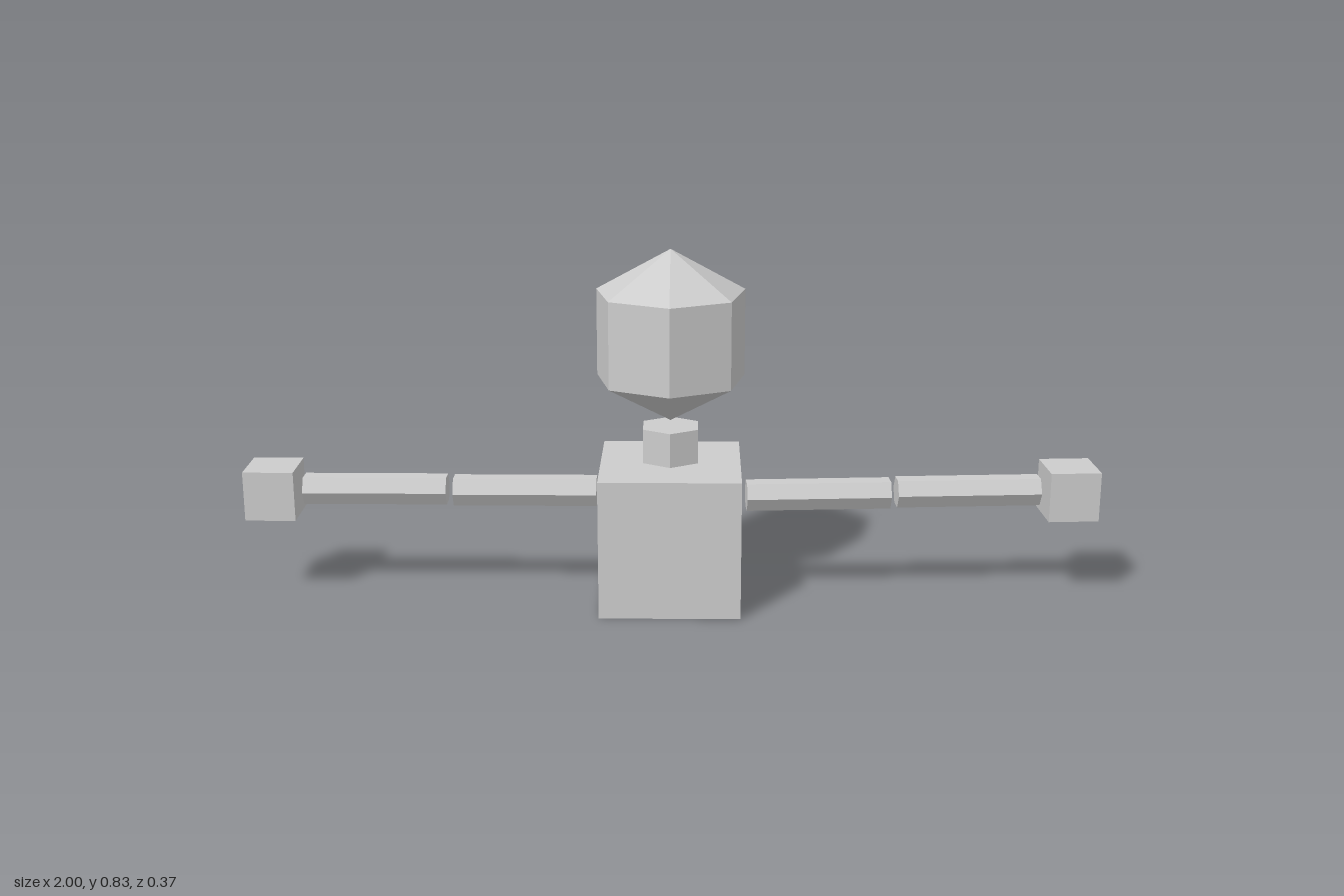
import * as THREE from 'three';

const grey = new THREE.MeshStandardMaterial({ color: 0xcccccc });
grey.name = 'plain grey';

// Faceted mesh: unshared vertices give flat normals
function part(name, geometry, x, y, z) {
  const flat = geometry.index ? geometry.toNonIndexed() : geometry;
  flat.computeVertexNormals();
  const mesh = new THREE.Mesh(flat, grey);
  mesh.name = name;
  mesh.position.set(x, y, z);
  return mesh;
}

const box = (w, h, d) => new THREE.BoxGeometry(w, h, d);

// Hexagonal bar lying along x, with its corners pointing to +z and -z
const armBar = () => new THREE.CylinderGeometry(0.0375, 0.0375, 0.337, 6).rotateZ(Math.PI / 2);

export function createModel() {
  const model = new THREE.Group();
  model.name = 'blockFigure';
  const cx = -0.005, cz = 0.008;

  // Torso and neck
  model.add(part('torso', box(0.327, 0.329, 0.327), cx, 0.1645, cz));
  model.add(part('neck', new THREE.CylinderGeometry(0.0735, 0.0735, 0.081, 6), cx, 0.3765, cz));

  // Head: seven-sided barrel with a point above and below
  const profile = [[0, 0.43], [0.176, 0.53], [0.176, 0.733], [0, 0.833]]
    .map(([r, y]) => new THREE.Vector2(r, y));
  model.add(part('head', new THREE.LatheGeometry(profile, 7), cx, 0, cz));

  // Block and thin plate on the back of the head
  model.add(part('backBlock', box(0.125, 0.087, 0.05), cx, 0.675, -0.157));
  model.add(part('backPlate', box(0.125, 0.075, 0.008), cx, 0.5825, -0.15));

  // Arms: two bars and a cubic hand, laid out along +x from the arm's own middle
  const addArm = (name, x, y, z, turn, side) => {
    const arm = new THREE.Group();
    arm.name = name;
    arm.position.set(x, y, z);
    arm.rotation.y = turn;
    arm.add(part('upperArm', armBar(), -0.176 * side, -0.001, 0));
    arm.add(part('forearm', armBar(), 0.177 * side, 0.001, 0));
    arm.add(part('hand', box(0.118, 0.118, 0.118), 0.418 * side, -0.001, 0));
    model.add(arm);
  };
  addArm('leftArm', 0.516, 0.257, 0.0135, 0.065, 1);
  addArm('rightArm', -0.523, 0.256, 0.003, 0, -1);

  return model;
}
